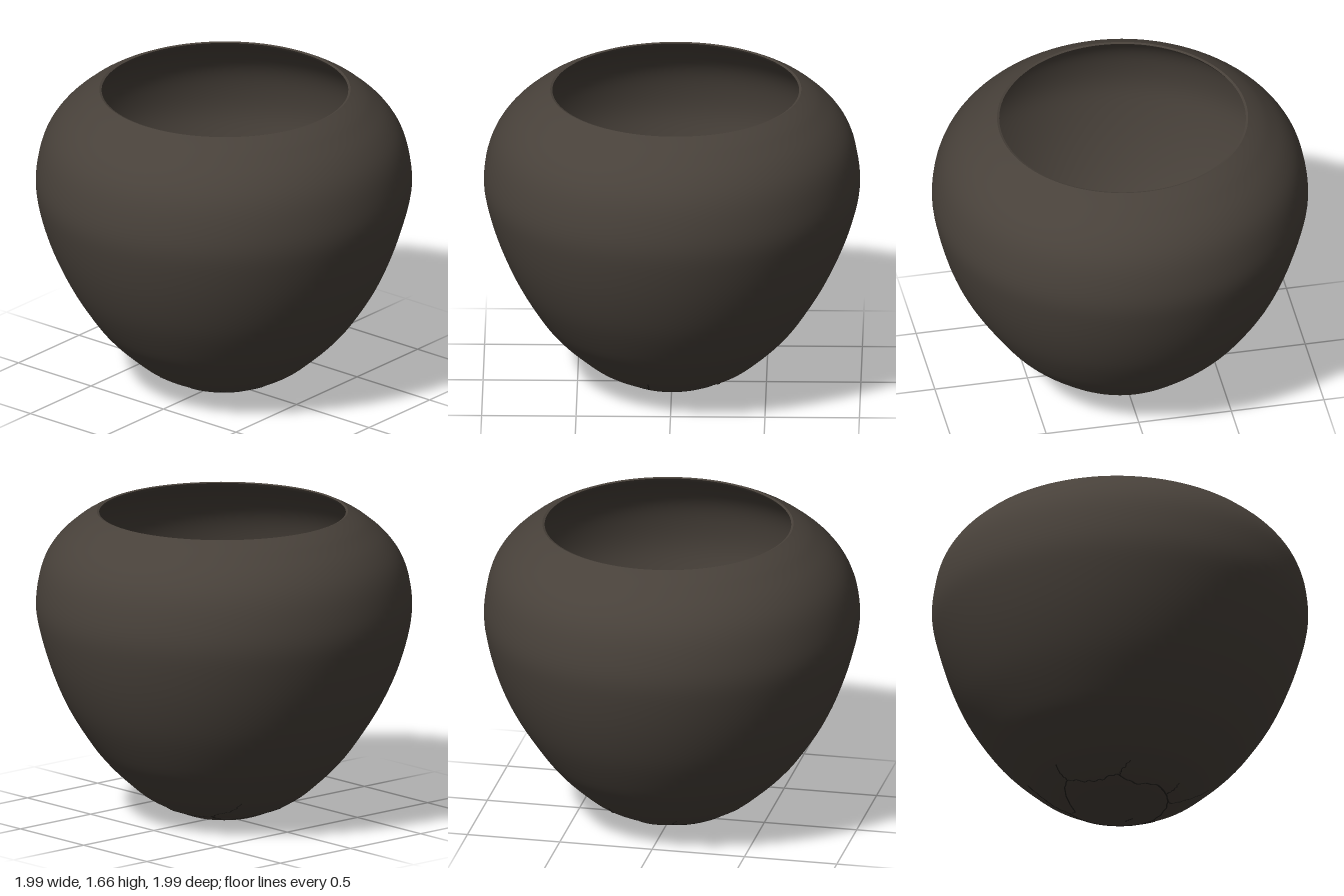
import * as THREE from 'three';

// Outer silhouette as [radius, height], from the base to the rim
const OUTER = [
  [0, 0.004], [0.16, 0.018], [0.28, 0.06], [0.41, 0.125], [0.51, 0.205], [0.61, 0.3],
  [0.7, 0.41], [0.82, 0.6], [0.91, 0.8], [0.972, 1.0], [0.996, 1.15],
  [0.98, 1.3], [0.94, 1.42], [0.87, 1.52], [0.78, 1.6], [0.72, 1.64], [0.665, 1.668],
];
const WALL = 0.02;

export function createModel() {
  const clay = new THREE.MeshStandardMaterial({ color: 0x48413a });
  clay.name = 'dark clay';
  const crackDark = new THREE.MeshStandardMaterial({ color: 0x221f1b });
  crackDark.name = 'crack shadow';

  const pot = new THREE.Group();
  pot.name = 'pot';

  // Outer profile, and an inner one offset by the wall thickness
  const curve = new THREE.SplineCurve(OUTER.map(([r, y]) => new THREE.Vector2(r, y)));
  const outer = curve.getPoints(64);
  outer[0].x = 0;
  const inner = outer.map((p, i) => {
    const a = outer[Math.max(i - 1, 0)];
    const b = outer[Math.min(i + 1, outer.length - 1)];
    const t = b.clone().sub(a).normalize();
    return new THREE.Vector2(Math.max(0, p.x - t.y * WALL), p.y + t.x * WALL);
  });
  inner[0].x = 0;
  const rimOuter = outer[outer.length - 1];
  const rimInner = inner[inner.length - 1].set(rimOuter.x - 0.012, rimOuter.y - 0.004);

  // Hand-formed unevenness; the mouth sits slightly back and to the side
  function handForm(geometry) {
    const p = geometry.attributes.position;
    for (let i = 0; i < p.count; i++) {
      const x = p.getX(i), y = p.getY(i), z = p.getZ(i);
      const a = Math.atan2(x, z);
      const mid = Math.sin(Math.PI * Math.min(1, y / 1.15));
      const k = 1 + 0.006 * mid * Math.sin(3 * a + 4 * y) + 0.004 * mid * Math.sin(7 * a - 5 * y);
      const lean = Math.max(0, (y - 1.3) / 0.37);
      p.setX(i, x * k - 0.01 * lean);
      p.setZ(i, z * k - 0.02 * lean);
    }
    return geometry;
  }

  function addShell(name, points) {
    const mesh = new THREE.Mesh(handForm(new THREE.LatheGeometry(points, 96)), clay);
    mesh.name = name;
    pot.add(mesh);
  }
  addShell('outerWall', outer);
  addShell('rim', [rimOuter, rimInner]);
  addShell('innerWall', [...inner].reverse());

  // Height of a profile at a given radius, below the shoulder
  function heightAt(profile, r) {
    for (let i = 1; i < profile.length; i++) {
      const a = profile[i - 1], b = profile[i];
      if (r <= b.x) return a.y + (b.y - a.y) * (r - a.x) / Math.max(1e-6, b.x - a.x);
    }
    return profile[profile.length - 1].y;
  }

  // Cracks run through the base, as [x, z] paths: one ring and its branches
  const cracks = {
    ringCrack: [[-0.18, -0.25], [-0.1, -0.29], [0, -0.32], [0.09, -0.3], [0.18, -0.25], [0.23, -0.16],
      [0.24, 0], [0.22, 0.12], [0.17, 0.21], [0.08, 0.28], [-0.04, 0.27], [-0.16, 0.28],
      [-0.21, 0.21], [-0.27, 0.15], [-0.34, 0.08], [-0.31, -0.02], [-0.24, -0.11], [-0.18, -0.18], [-0.18, -0.25]],
    backLeftBranch: [[-0.18, -0.25], [-0.25, -0.27], [-0.33, -0.25], [-0.42, -0.25]],
    backRightBranch: [[0.18, -0.25], [0.25, -0.25], [0.32, -0.25]],
    sideBranch: [[0.21, 0.15], [0.24, 0.12], [0.33, 0.12], [0.46, 0.12]],
    frontRightBranch: [[0.17, 0.21], [0.2, 0.24], [0.21, 0.29]],
    frontLeftBranch: [[-0.13, 0.28], [-0.14, 0.31], [-0.12, 0.39]],
    outerBranch: [[-0.34, 0.08], [-0.39, 0.09], [-0.43, 0.12]],
    centreCrack: [[0.08, -0.11], [0.09, -0.07], [0.1, -0.05]],
  };
  for (const [side, profile] of [['outside', outer], ['inside', inner]]) {
    const group = new THREE.Group();
    group.name = side + 'Cracks';
    for (const [name, path] of Object.entries(cracks)) {
      // Dense points with a little jitter keep the crack on the curved base
      const flat = new THREE.CatmullRomCurve3(path.map(([x, z]) => new THREE.Vector3(x, 0, z)));
      const n = path.length * 4;
      const pts = flat.getPoints(n).map((p, i) => {
        const j = i === 0 || i === n ? 0 : 0.005 * Math.sin(i * 2.3);
        p.x += j;
        p.z -= j;
        p.y = heightAt(profile, Math.hypot(p.x, p.z));
        return p;
      });
      const width = name === 'ringCrack' ? 0.0045 : 0.0035;
      const tube = new THREE.TubeGeometry(new THREE.CatmullRomCurve3(pts), n * 2, width, 5);
      const mesh = new THREE.Mesh(handForm(tube), crackDark);
      mesh.name = name;
      group.add(mesh);
    }
    pot.add(group);
  }
  return pot;
}
